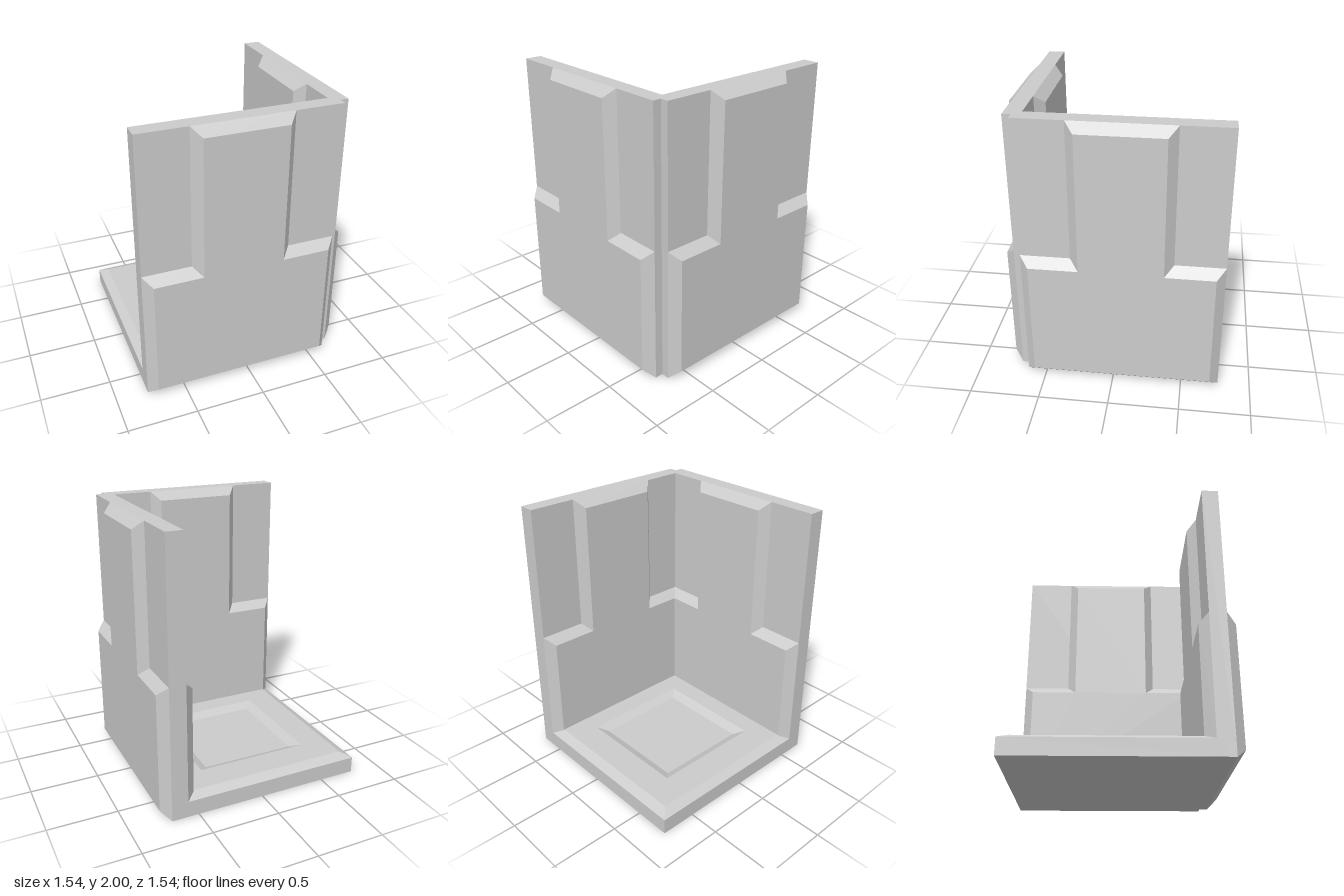
import * as THREE from 'three';

const C = -0.065;      // centre line of the walls and floor
const HALF = 0.705;    // half width of the walls and floor
const RISE = 0.067;    // how far a panel stands proud
const BEVEL = 0.063;   // width of the panel bevel

// Inverted T outline, drawn in by i on every side
function panelOutline(i) {
  const w = HALF - i, n = 0.355 - i, s = 1 - i, t = 2 - i;
  return [[-w, i], [w, i], [w, s], [n, s], [n, t], [-n, t], [-n, s], [-w, s]]
    .map(([x, y]) => new THREE.Vector2(x, y));
}

// Raised panel facing +z: sloped rim between two outlines, plus a flat face
function panelGeometry() {
  const outer = panelOutline(0), inner = panelOutline(BEVEL), n = outer.length;
  const position = [...outer.flatMap(p => [p.x, p.y, 0]), ...inner.flatMap(p => [p.x, p.y, RISE])];
  const index = [];
  for (let i = 0; i < n; i++) {
    const j = (i + 1) % n;
    index.push(i, j, n + j, i, n + j, n + i);
  }
  for (const [a, b, c] of THREE.ShapeUtils.triangulateShape(inner, [])) index.push(n + a, n + b, n + c);
  const g = new THREE.BufferGeometry();
  g.setAttribute('position', new THREE.Float32BufferAttribute(position, 3));
  g.setIndex(index);
  return flat(g);
}

function flat(g) {
  const f = g.index ? g.toNonIndexed() : g;
  f.computeVertexNormals();
  return f;
}

export function createModel() {
  const model = new THREE.Group();
  model.name = 'wallCorner';
  const material = new THREE.MeshStandardMaterial({ color: 0xcccccc, flatShading: true });

  function add(name, geometry, x, y, z, turn = 0) {
    const mesh = new THREE.Mesh(geometry, material);
    mesh.name = name;
    mesh.position.set(x, y, z);
    mesh.rotation.y = turn;
    model.add(mesh);
  }

  // L-shaped wall core with a notched outer corner (plan drawn as x, -z)
  const plan = [[-0.77, 0.58], [-0.77, 0.70], [0.64, 0.70], [0.64, 0.64],
    [0.70, 0.64], [0.70, -0.77], [0.58, -0.77], [0.58, 0.58]];
  const shape = new THREE.Shape(plan.map(([x, z]) => new THREE.Vector2(x, -z)));
  const core = new THREE.ExtrudeGeometry(shape, { depth: 2, bevelEnabled: false });
  core.rotateX(-Math.PI / 2);
  add('wallCore', core, 0, 0, 0);

  // Bevelled panels on both faces of both walls
  const panel = panelGeometry();
  add('frontOuterPanel', panel, C, 0, 0.70);
  add('frontInnerPanel', panel, C, 0, 0.58, Math.PI);
  add('sideOuterPanel', panel, 0.70, 0, C, Math.PI / 2);
  add('sideInnerPanel', panel, 0.58, 0, C, -Math.PI / 2);

  // Square floor: bevelled rim and a shallow recess in the middle
  const profile = [[0, 0], [HALF, 0], [HALF, 0.12], [0.635, 0.155],
    [0.425, 0.155], [0.355, 0.12], [0, 0.12]]
    .map(([half, y]) => new THREE.Vector2(half * Math.SQRT2, y));
  add('floor', flat(new THREE.LatheGeometry(profile, 4, Math.PI / 4)), C, 0, C);

  return model;
}
